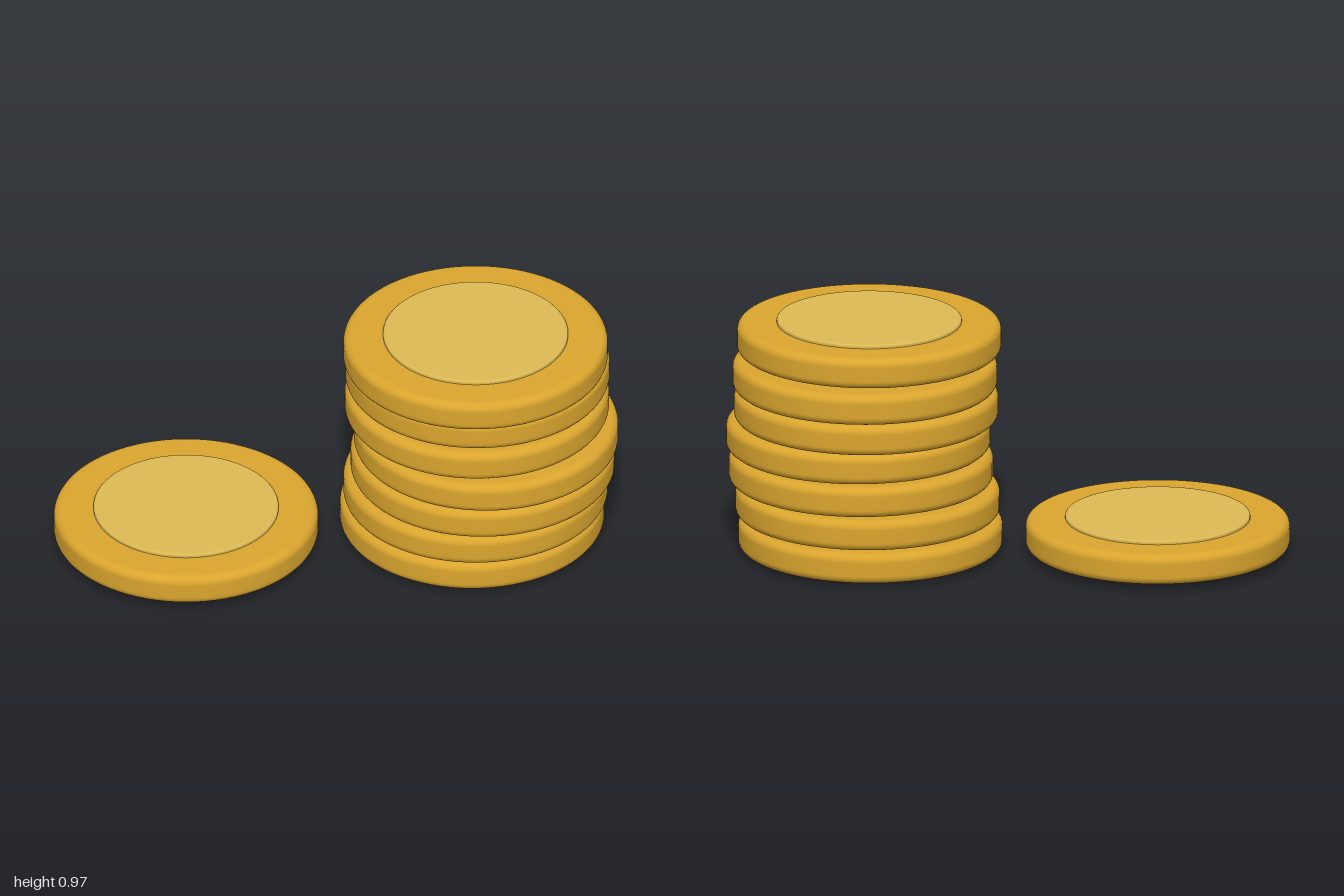
import * as THREE from 'three';

const RIM_RADIUS = 0.537, RIM_HEIGHT = 0.126;
const FACE_RADIUS = 0.376, FACE_RAISE = 0.015;
const STEP = 0.135;

// Solid disc with rounded edges, centred on the origin
function roundedDisc(radius, height, bevel, arcSteps) {
  const h = height / 2, c = radius - bevel;
  const points = [new THREE.Vector2(0, -h), new THREE.Vector2(c - 0.004, -h)];
  for (const side of [-1, 1]) {
    for (let i = 0; i <= arcSteps; i++) {
      const t = (i / arcSteps) * Math.PI / 2;
      const a = side < 0 ? t - Math.PI / 2 : t;
      points.push(new THREE.Vector2(c + bevel * Math.cos(a), side * (h - bevel) + bevel * Math.sin(a)));
    }
  }
  points.push(new THREE.Vector2(c - 0.004, h), new THREE.Vector2(0, h));
  return new THREE.LatheGeometry(points, 80);
}

export function createModel() {
  const model = new THREE.Group();
  model.name = 'coinStack';

  const gold = new THREE.MeshStandardMaterial({ color: 0xdaa52e });
  gold.name = 'gold';
  const paleGold = new THREE.MeshStandardMaterial({ color: 0xdcb954 });
  paleGold.name = 'paleGold';

  const rimGeometry = roundedDisc(RIM_RADIUS, RIM_HEIGHT, 0.034, 6);
  const faceGeometry = roundedDisc(FACE_RADIUS, RIM_HEIGHT + 2 * FACE_RAISE, 0.008, 3);

  // One coin: thick rim with a raised pale disc on both faces
  function addCoin(name, x, base, z) {
    const coin = new THREE.Group();
    coin.name = name;
    const rim = new THREE.Mesh(rimGeometry, gold);
    rim.name = 'coinRim';
    const face = new THREE.Mesh(faceGeometry, paleGold);
    face.name = 'coinFaces';
    coin.add(rim, face);
    coin.position.set(x, base + RIM_HEIGHT / 2 + FACE_RAISE, z);
    model.add(coin);
  }

  // Untidy stack, bottom to top
  const stack = [
    [0.332, -0.443], [0.353, -0.442], [0.384, -0.452], [0.403, -0.452],
    [0.355, -0.448], [0.343, -0.463], [0.385, -0.41],
  ];
  stack.forEach(([x, z], i) => addCoin(`stackedCoin${i + 1}`, x, i * STEP, z));

  // Loose coin in front
  addCoin('looseCoin', -0.405, 0.012, 0.463);

  return model;
}
